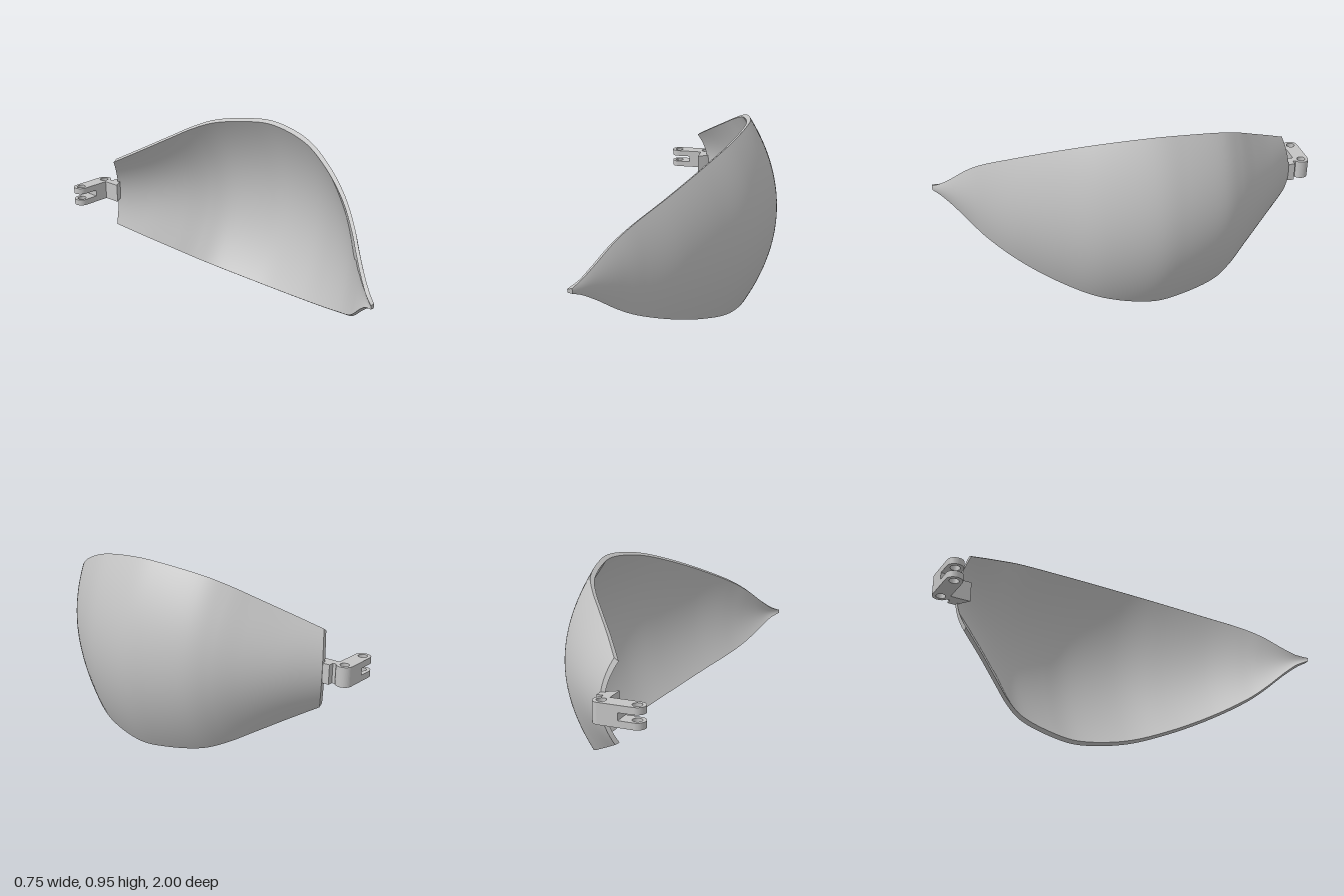
import * as THREE from 'three';
import { ParametricGeometry } from 'three/addons/geometries/ParametricGeometry.js';

const MID = 0.477; // height of the symmetry plane
const T = 0.021; // shell thickness

// Stations from back to front: rim z, rim half height, rim x, centre z, centre x
const STATIONS = [
  [-0.84, 0.195, -0.162, -0.875, -0.11],
  [-0.72, 0.263, -0.072, -0.74, 0.035],
  [-0.6, 0.333, 0.025, -0.61, 0.158],
  [-0.5, 0.39, 0.104, -0.5, 0.249],
  [-0.4, 0.43, 0.162, -0.4, 0.308],
  [-0.2, 0.465, 0.215, -0.2, 0.362],
  [-0.05, 0.475, 0.23, -0.05, 0.372],
  [0.2, 0.445, 0.185, 0.2, 0.308],
  [0.4, 0.385, 0.095, 0.4, 0.192],
  [0.6, 0.3, -0.03, 0.6, 0.04],
  [0.75, 0.215, -0.155, 0.75, -0.113],
  [0.82, 0.158, -0.22, 0.82, -0.186],
  [0.9, 0.082, -0.285, 0.9, -0.266],
  [0.96, 0.034, -0.329, 0.96, -0.32],
  [1, 0.012, -0.357, 1, -0.355],
];
const rimCurve = new THREE.CatmullRomCurve3(STATIONS.map(([z, h, x]) => new THREE.Vector3(x, h, z)));
const centreCurve = new THREE.CatmullRomCurve3(STATIONS.map((s) => new THREE.Vector3(s[4], 0, s[3])));

// s: back to front, w: -1 (bottom rim) to 1 (top rim), d: 0 outside to 1 inside
function shellPoint(s, w, d, target) {
  const e = rimCurve.getPoint(s);
  const c = centreCurve.getPoint(s);
  const k = w * w;
  const inset = d * Math.min(0.667 * T, e.y * 0.3);
  target.set(
    c.x + (e.x - c.x) * k - d * T,
    MID + w * (e.y - inset),
    c.z + (e.z - c.z) * k,
  );
}

// Flat link outline in x and z, extruded upwards from y0 to y1
function extrudeUp(shape, y0, y1) {
  const g = new THREE.ExtrudeGeometry(shape, { depth: y1 - y0, bevelEnabled: false, curveSegments: 20 });
  g.rotateX(Math.PI / 2);
  g.translate(0, y1, 0);
  return g;
}

function addHole(shape, x, z, r) {
  const hole = new THREE.Path();
  hole.absarc(x, z, r, 0, Math.PI * 2, true);
  shape.holes.push(hole);
}

export function createModel() {
  const model = new THREE.Group();
  model.name = 'curvedShellWithHinge';
  const grey = new THREE.MeshStandardMaterial({ color: 0xc4c4c4 });
  grey.name = 'grey';

  const add = (parent, name, geometry) => {
    const mesh = new THREE.Mesh(geometry, grey);
    mesh.name = name;
    parent.add(mesh);
  };

  // Curved shell: two skins, two rims and two end faces
  const shell = new THREE.Group();
  shell.name = 'shell';
  model.add(shell);
  const surface = (name, fn, nu, nv) => add(shell, name, new ParametricGeometry(fn, nu, nv));
  surface('outerSkin', (u, v, p) => shellPoint(v, 2 * u - 1, 0, p), 40, 90);
  surface('innerSkin', (u, v, p) => shellPoint(v, 1 - 2 * u, 1, p), 40, 90);
  surface('topRim', (u, v, p) => shellPoint(u, 1, 1 - v, p), 90, 1);
  surface('bottomRim', (u, v, p) => shellPoint(u, -1, v, p), 90, 1);
  surface('frontTip', (u, v, p) => shellPoint(1, 2 * v - 1, 1 - u, p), 1, 10);
  surface('backEnd', (u, v, p) => shellPoint(0, 2 * u - 1, 1 - v, p), 40, 1);

  // Hinge link: solid at one end, forked at the other
  const hinge = new THREE.Group();
  hinge.name = 'hinge';
  model.add(hinge);
  const zc = -0.961, r = 0.039, xa = -0.32, xb = -0.159, holeR = 0.022;

  const prong = new THREE.Shape();
  prong.absarc(xb, zc, r, -Math.PI / 2, Math.PI / 2, false);
  prong.absarc(xa, zc, r, Math.PI / 2, Math.PI * 1.5, false);
  addHole(prong, xa, zc, holeR);
  addHole(prong, xb, zc, holeR);
  add(hinge, 'lowerProng', extrudeUp(prong, 0.429, 0.46));
  add(hinge, 'upperProng', extrudeUp(prong, 0.494, 0.526));

  const core = new THREE.Shape();
  core.absarc(xb, zc, r, -Math.PI / 2, Math.PI / 2, false);
  core.lineTo(-0.25, zc + r);
  core.lineTo(-0.25, zc - r);
  addHole(core, xb, zc, holeR);
  add(hinge, 'linkCore', extrudeUp(core, 0.46, 0.494));

  // Stepped lug joining the link to the shell
  const lug = new THREE.Shape([
    [-0.18, -0.93], [-0.142, -0.93], [-0.142, -0.91], [-0.112, -0.91],
    [-0.112, -0.875], [-0.14, -0.855], [-0.18, -0.828],
  ].map(([x, z]) => new THREE.Vector2(x, z)));
  add(hinge, 'lug', extrudeUp(lug, 0.429, 0.526));

  return model;
}
